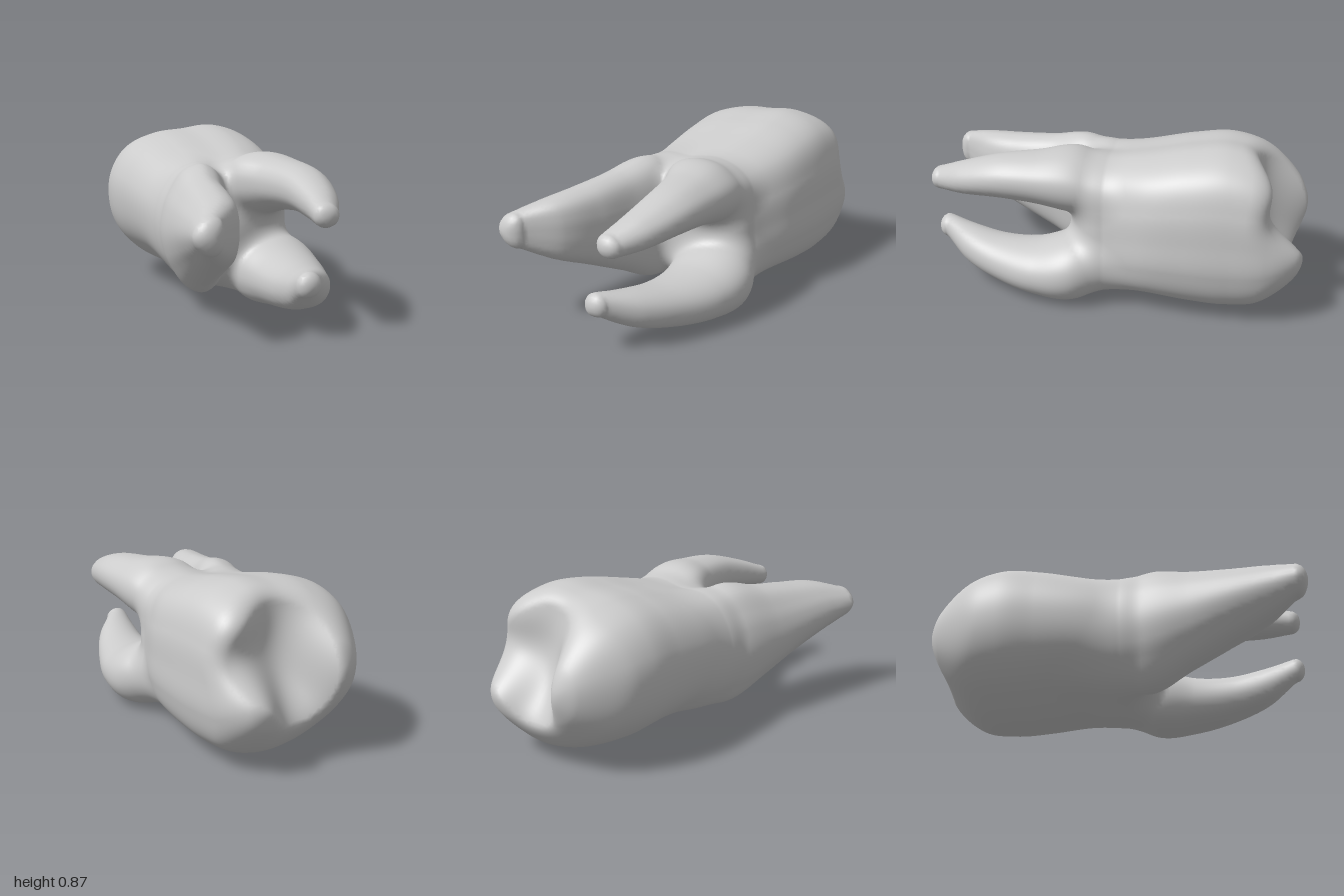
import * as THREE from 'three';

// Each part is lofted through sections [z, xMin, xMax, yMin, yMax] and closed by a rounded cap of length `cap`.
// `outline` holds radii at 16 even angles, relative to the section's ellipse.
const CROWN = {
  cap: 0.21,
  outline: [0.99, 1.04, 1.14, 1.08, 0.97, 1, 1.06, 1.04, 0.99, 0.96, 0.92, 0.91, 0.97, 1.08, 1.15, 1.06],
  rows: [
    [-1.02, -0.1, 0.34, 0.36, 0.54], [-0.95, -0.22, 0.45, 0.21, 0.68], [-0.8, -0.33, 0.505, 0.07, 0.81],
    [-0.6, -0.385, 0.52, 0.03, 0.868], [-0.4, -0.383, 0.515, 0.04, 0.85], [-0.2, -0.375, 0.485, 0.055, 0.805],
    [0, -0.355, 0.41, 0.04, 0.76], [0.04, -0.35, 0.395, 0.045, 0.75],
  ],
};
const ROOTS = {
  broadRoot: {
    cap: 0.06,
    outline: [1, 1.05, 1.12, 1.05, 0.96, 0.93, 0.92, 0.97, 1, 0.94, 0.88, 0.9, 0.97, 1.08, 1.14, 1.05],
    rows: [
      [-0.25, -0.25, -0.05, 0.2, 0.6], [0, -0.32, -0.03, 0.12, 0.7], [0.2, -0.385, -0.03, 0.08, 0.76], [0.4, -0.42, -0.1, 0.17, 0.72],
      [0.6, -0.455, -0.15, 0.265, 0.695], [0.8, -0.49, -0.23, 0.355, 0.67], [0.94, -0.523, -0.37, 0.44, 0.625],
    ],
  },
  upperRoot: {
    cap: 0.05,
    outline: [1, 1, 0.98, 0.99, 1, 1.04, 1.08, 1.04, 1, 1, 1, 1, 1, 1, 1, 1],
    rows: [
      [-0.25, 0.06, 0.3, 0.45, 0.66], [0, 0.02, 0.35, 0.46, 0.72], [0.2, -0.02, 0.39, 0.47, 0.8], [0.4, 0.06, 0.387, 0.52, 0.785],
      [0.6, 0.1, 0.365, 0.54, 0.76], [0.8, 0.1, 0.3, 0.53, 0.7], [0.94, 0.085, 0.22, 0.525, 0.645],
    ],
  },
  lowerRoot: {
    cap: 0.05,
    outline: [1, 1, 1, 1, 1, 1, 1, 1, 1, 1.04, 1.1, 1.07, 1, 1.02, 1.04, 1.02],
    rows: [
      [-0.25, 0.08, 0.32, 0.16, 0.36], [0, 0.05, 0.39, 0.08, 0.36], [0.2, 0.02, 0.475, 0.003, 0.36], [0.4, 0.05, 0.45, 0.018, 0.3],
      [0.6, 0.05, 0.37, 0.05, 0.285], [0.8, 0.02, 0.26, 0.11, 0.305], [0.94, 0, 0.13, 0.2, 0.325],
    ],
  },
};
// Cusps on the chewing surface: [x, y, spreadX, spreadY, height]
const CUSPS = [
  [-0.14, 0.47, 0.14, 0.24, 0.31], [0.37, 0.33, 0.14, 0.15, 0.25],
  [0.39, 0.72, 0.14, 0.13, 0.09], [0.12, 0.17, 0.19, 0.14, 0.18],
];
const FOSSA_Z = -0.72;

const hermite = (a, b, ma, mb, t) => {
  const u = t * t, v = u * t;
  return a * (2 * v - 3 * u + 1) + ma * (v - 2 * u + t) + b * (3 * u - 2 * v) + mb * (v - u);
};

// Smoothly interpolated section at z: centre and half sizes
function sectionAt(rows, z) {
  const n = rows.length;
  z = Math.min(Math.max(z, rows[0][0]), rows[n - 1][0]);
  let i = 0;
  while (i < n - 2 && z > rows[i + 1][0]) i++;
  const a = rows[i], b = rows[i + 1], p = rows[Math.max(i - 1, 0)], q = rows[Math.min(i + 2, n - 1)];
  const d = b[0] - a[0], t = (z - a[0]) / d;
  const v = k => hermite(a[k], b[k], (b[k] - p[k]) / (b[0] - p[0]) * d, (q[k] - a[k]) / (q[0] - a[0]) * d, t);
  const x0 = v(1), x1 = v(2), y0 = v(3), y1 = v(4);
  return [(x0 + x1) / 2, (y0 + y1) / 2, (x1 - x0) / 2, (y1 - y0) / 2];
}

function outlineRadius(outline, angle) {
  const s = (angle / (2 * Math.PI) + 1) * 16, i = Math.floor(s), g = k => outline[(i + k + 16) % 16];
  return hermite(g(0), g(1), (g(1) - g(-1)) / 2, (g(2) - g(0)) / 2, s - i);
}

// Signed field of a lofted part: negative inside
function loft({ rows, outline, cap }, x, y, z) {
  const [cx, cy, rx, ry] = sectionAt(rows, z);
  const u = (x - cx) / rx, v = (y - cy) / ry;
  const w = Math.max(0, (rows[0][0] - z) / 0.1, (z - rows[rows.length - 1][0]) / cap);
  const r = Math.hypot(Math.hypot(u, v) / outlineRadius(outline, Math.atan2(v, u)), w);
  return (r - 1) * Math.min(rx, ry);
}

function smoothMin(a, b, k) {
  const h = Math.max(k - Math.abs(a - b), 0) / k;
  return Math.min(a, b) - h * h * k / 4;
}

// Crown body cut by the cusped chewing surface
function crownField(x, y, z) {
  let top = FOSSA_Z;
  for (const [cx, cy, sx, sy, h] of CUSPS) top -= h * Math.exp(-(((x - cx) / sx) ** 2 + ((y - cy) / sy) ** 2) / 1.6);
  return -smoothMin(-loft(CROWN, x, y, z), -(top - z) * 0.6, 0.05);
}

const PARTS = [['crown', crownField],
  ...Object.entries(ROOTS).map(([name, root]) => [name, (x, y, z) => loft(root, x, y, z)])];
const toothField = (x, y, z) => PARTS.reduce((f, [, part]) => smoothMin(f, part(x, y, z), 0.075), 9);

function gradient(x, y, z) {
  const e = 0.006;
  return new THREE.Vector3(
    toothField(x + e, y, z) - toothField(x - e, y, z),
    toothField(x, y + e, z) - toothField(x, y - e, z),
    toothField(x, y, z + e) - toothField(x, y, z - e)).divideScalar(2 * e);
}

// Skin the blended field with one vertex per crossed grid cell, faces sorted by part
function skin() {
  const h = 0.021, min = [-0.58, -0.06, -1.08], size = [56, 48, 104];
  const step = [1, size[0], size[0] * size[1]];
  const values = new Float32Array(size[0] * size[1] * size[2]).fill(1);
  const each = (from, fn) => {
    for (let k = from; k < size[2] - 1; k++) for (let j = from; j < size[1] - 1; j++)
      for (let i = from; i < size[0] - 1; i++) fn(i, j, k, i + j * step[1] + k * step[2]);
  };
  each(0, (i, j, k, c) => { values[c] = toothField(min[0] + i * h, min[1] + j * h, min[2] + k * h); });

  const ids = new Int32Array(values.length).fill(-1), positions = [], normals = [], owners = [];
  each(0, (i, j, k, c) => {
    const sum = new THREE.Vector3();
    let count = 0;
    for (let m = 0; m < 8; m++) for (let a = 0; a < 3; a++) {
      if (m >> a & 1) continue;
      const o = [m & 1, m >> 1 & 1, m >> 2 & 1], p = c + o[0] + o[1] * step[1] + o[2] * step[2];
      const f = values[p], g = values[p + step[a]];
      if (f < 0 === g < 0) continue;
      o[a] += f / (f - g);
      sum.add(new THREE.Vector3(...o));
      count++;
    }
    if (!count) return;
    const v = sum.divideScalar(count).add(new THREE.Vector3(i, j, k)).multiplyScalar(h).add(new THREE.Vector3(...min));
    // Pull the vertex onto the surface
    for (let s = 0; s < 2; s++) {
      const g = gradient(v.x, v.y, v.z), d = toothField(v.x, v.y, v.z) / Math.max(g.lengthSq(), 0.2);
      v.addScaledVector(g, -Math.min(Math.max(d, -h / 2), h / 2));
    }
    ids[c] = positions.length / 3;
    positions.push(v.x, v.y, v.z);
    normals.push(...gradient(v.x, v.y, v.z).normalize().toArray());
    const fields = PARTS.map(([, part]) => part(v.x, v.y, v.z));
    owners.push(fields.indexOf(Math.min(...fields)));
  });

  const faces = PARTS.map(() => []);
  each(1, (i, j, k, c) => {
    for (let a = 0; a < 3; a++) {
      const inside = values[c] < 0;
      if (inside === values[c + step[a]] < 0) continue;
      const b = step[(a + 1) % 3], d = step[(a + 2) % 3];
      const q = [c - b - d, c - d, c, c - b].map(n => ids[n]);
      if (!inside) q.reverse();
      faces[owners[q[0]]].push(q[0], q[1], q[2], q[0], q[2], q[3]);
    }
  });
  return { positions, normals, faces };
}

export function createModel() {
  const group = new THREE.Group();
  group.name = 'molarTooth';
  const material = new THREE.MeshStandardMaterial({ color: 0xcccccc });
  const { positions, normals, faces } = skin();
  const position = new THREE.Float32BufferAttribute(positions, 3);
  const normal = new THREE.Float32BufferAttribute(normals, 3);
  PARTS.forEach(([name], i) => {
    const geometry = new THREE.BufferGeometry();
    geometry.setAttribute('position', position);
    geometry.setAttribute('normal', normal);
    geometry.setIndex(faces[i]);
    const mesh = new THREE.Mesh(geometry, material);
    mesh.name = name;
    group.add(mesh);
  });
  return group;
}
